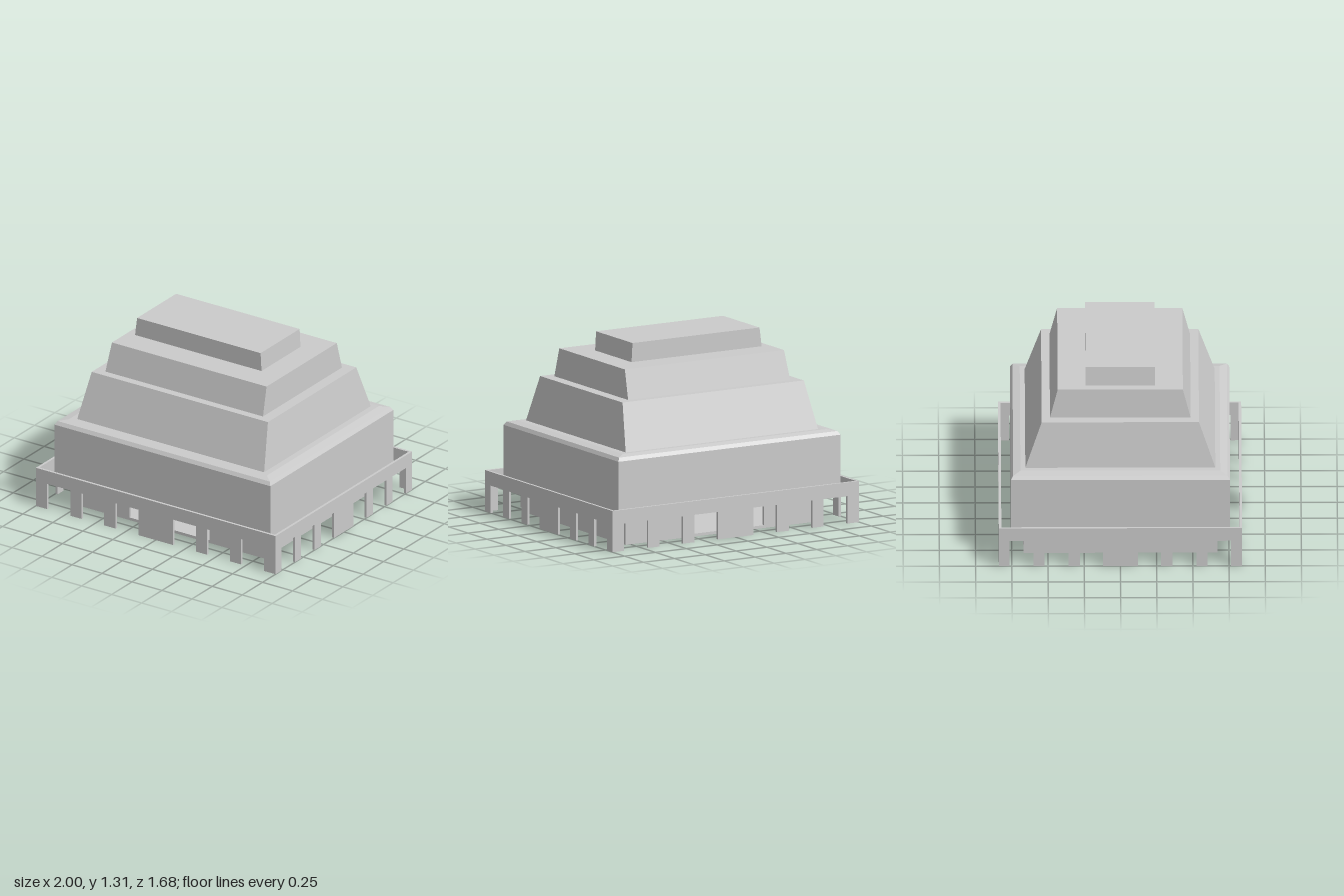
import * as THREE from 'three';

const material = new THREE.MeshStandardMaterial({ color: 0xcccccc, flatShading: true });

function addMesh(parent, geometry, name) {
  const mesh = new THREE.Mesh(geometry, material);
  mesh.name = name;
  parent.add(mesh);
  return mesh;
}

// Flat-faced stack of rectangles; each ring is [y, xMin, xMax, halfDepth].
function ringStack(rings) {
  const corners = rings.map(([y, x0, x1, z]) => [[x0, y, z], [x1, y, z], [x1, y, -z], [x0, y, -z]]);
  const positions = [];
  const quad = (a, b, c, d) => positions.push(...a, ...b, ...c, ...a, ...c, ...d);
  const first = corners[0], last = corners[corners.length - 1];
  quad(first[3], first[2], first[1], first[0]);
  for (let i = 0; i < corners.length - 1; i++) {
    for (let k = 0; k < 4; k++) {
      const n = (k + 1) % 4;
      quad(corners[i][k], corners[i][n], corners[i + 1][n], corners[i + 1][k]);
    }
  }
  quad(...last);
  const geometry = new THREE.BufferGeometry();
  geometry.setAttribute('position', new THREE.Float32BufferAttribute(positions, 3));
  geometry.computeVertexNormals();
  return geometry;
}

// Upright panel standing on a row of feet, its outer face on z = 0.
function footedPanel(halfWidth, feet, footHeight, height, thickness) {
  const points = [];
  for (const [a, b] of feet) points.push([a, footHeight], [a, 0], [b, 0], [b, footHeight]);
  points.push([halfWidth, height], [-halfWidth, height]);
  const shape = new THREE.Shape(points.map(([x, y]) => new THREE.Vector2(x, y)));
  return new THREE.ExtrudeGeometry(shape, { depth: thickness, bevelEnabled: false })
    .translate(0, 0, -thickness);
}

// Mirror the feet on the positive side and add the wide middle foot.
function mirroredFeet(middle, side) {
  const left = side.map(([a, b]) => [-b, -a]).reverse();
  return [...left, [-middle, middle], ...side];
}

export function createModel() {
  const model = new THREE.Group();
  const T = 0.018;

  // Skirt: four thin walls on feet
  const skirt = new THREE.Group();
  skirt.name = 'skirt';
  model.add(skirt);
  const longWall = footedPanel(1, mirroredFeet(0.145, [[0.335, 0.43], [0.62, 0.71], [0.905, 1]]), 0.193, 0.29, T);
  const shortWall = footedPanel(0.84 - T,
    mirroredFeet(0.12, [[0.28, 0.36], [0.525, 0.6], [0.765, 0.84 - T]]), 0.193, 0.29, T);
  for (const s of [1, -1]) {
    const long = addMesh(skirt, longWall, s > 0 ? 'skirtFront' : 'skirtBack');
    long.position.z = s * 0.84;
    long.rotation.y = s > 0 ? 0 : Math.PI;
    const short = addMesh(skirt, shortWall, s > 0 ? 'skirtLeft' : 'skirtRight');
    short.position.x = s;
    short.rotation.y = s * Math.PI / 2;
  }

  // Core: floor plate and inner walls, open at the middle of front and back
  const core = new THREE.Group();
  core.name = 'core';
  model.add(core);
  addMesh(core, new THREE.BoxGeometry(1.58, 0.02, 1.34).translate(0, 0.01, 0), 'floorPlate');
  for (const s of [1, -1]) {
    addMesh(core, new THREE.BoxGeometry(0.02, 0.175, 1.34).translate(s * 0.78, 0.1075, 0), 'coreSide');
    for (const x of [-0.5525, 0.5525]) {
      addMesh(core, new THREE.BoxGeometry(0.435, 0.175, 0.02).translate(x, 0.1075, s * 0.66), 'coreWall');
    }
  }

  // Body: hollow from below, with a softened top edge
  addMesh(model, ringStack([
    [0.6, -0.77, 0.77, 0.65],
    [0.193, -0.77, 0.77, 0.65],
    [0.193, -0.9, 0.9, 0.757],
    [0.612, -0.9, 0.9, 0.757],
    [0.637, -0.885, 0.885, 0.74],
    [0.648, -0.825, 0.825, 0.69],
  ]), 'body');

  // Stepped, tapering tiers
  addMesh(model, ringStack([[0.645, -0.78, 0.78, 0.657], [0.975, -0.735, 0.735, 0.543]]), 'lowerTier');
  addMesh(model, ringStack([[0.97, -0.66, 0.655, 0.487], [1.18, -0.642, 0.648, 0.432]]), 'middleTier');
  addMesh(model, ringStack([[1.175, -0.58, 0.476, 0.24], [1.314, -0.562, 0.468, 0.24]]), 'topTier');

  return model;
}
